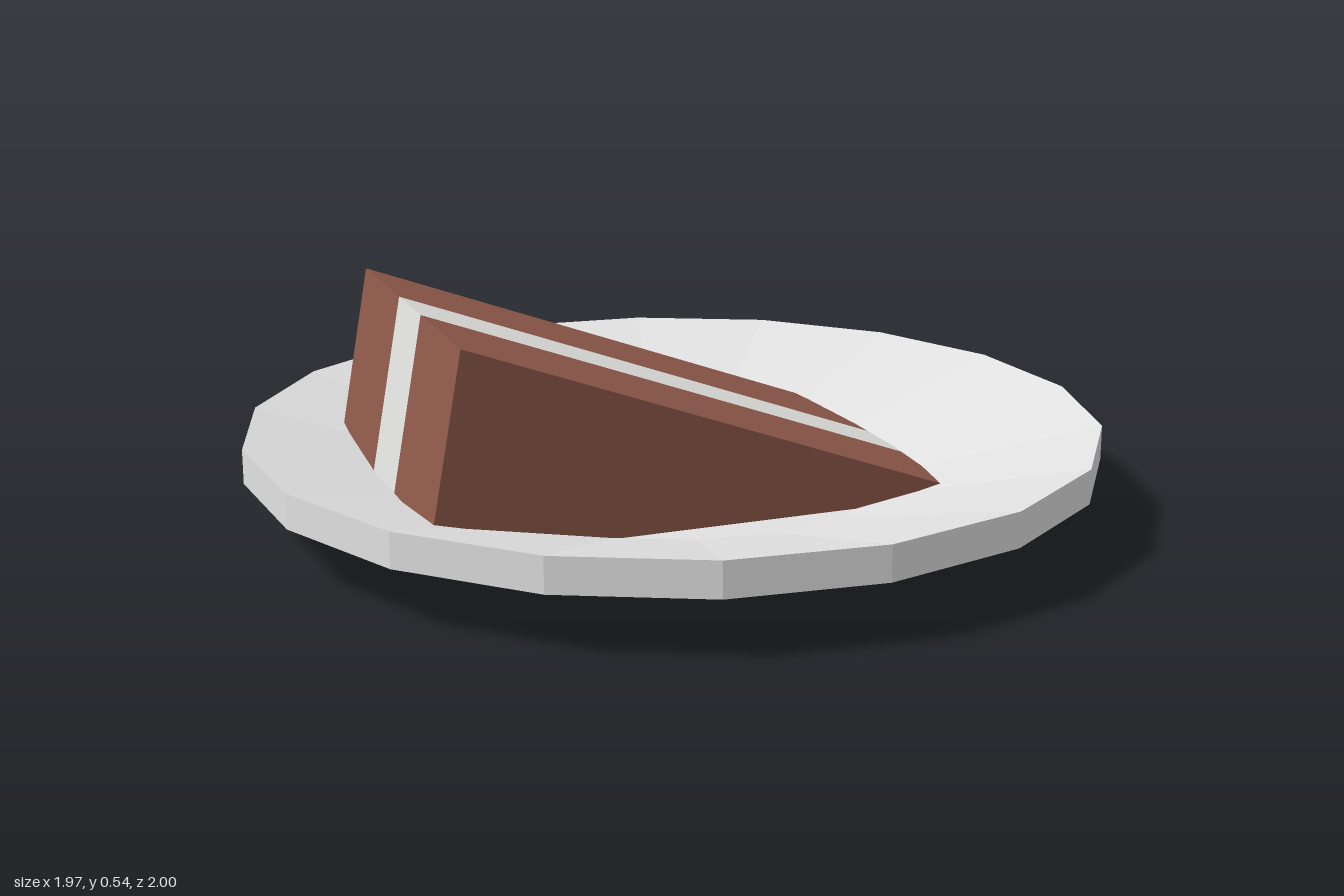
import * as THREE from 'three';

export function createModel() {
  const model = new THREE.Group();
  const material = (name, color) => {
    const m = new THREE.MeshStandardMaterial({ color, flatShading: true });
    m.name = name;
    return m;
  };
  const china = material('plate grey', 0xe2e2e2);
  const sponge = material('sponge brown', 0x8f5b4b);
  const cream = material('cream white', 0xe4e4e2);

  // Shallow faceted plate with a vertical rim
  const profile = [
    [0, 0], [0.52, 0], [1, 0.135], [1, 0.215], [0.52, 0.09], [0, 0.09],
  ].map(([r, y]) => new THREE.Vector2(r, y));
  const plate = new THREE.Mesh(new THREE.LatheGeometry(profile, 18), china);
  plate.name = 'plate';
  model.add(plate);

  // Cake slice lying on its side: one wedge outline, three layers across it
  const slice = new THREE.Group();
  slice.name = 'cakeSlice';
  slice.rotation.y = 0.617;
  const outline = new THREE.Shape([
    [-0.707, 0.11], [-0.5, 0.08], [0.604, 0.08], [-0.629, 0.54],
  ].map(([x, y]) => new THREE.Vector2(x, y)));
  const addLayer = (name, from, to, mat) => {
    const geometry = new THREE.ExtrudeGeometry(outline, { depth: to - from, bevelEnabled: false });
    const layer = new THREE.Mesh(geometry, mat);
    layer.name = name;
    layer.position.z = from;
    slice.add(layer);
  };
  addLayer('backSponge', -0.397, -0.076, sponge);
  addLayer('creamFilling', -0.076, 0.114, cream);
  addLayer('frontSponge', 0.114, 0.435, sponge);
  model.add(slice);

  return model;
}
